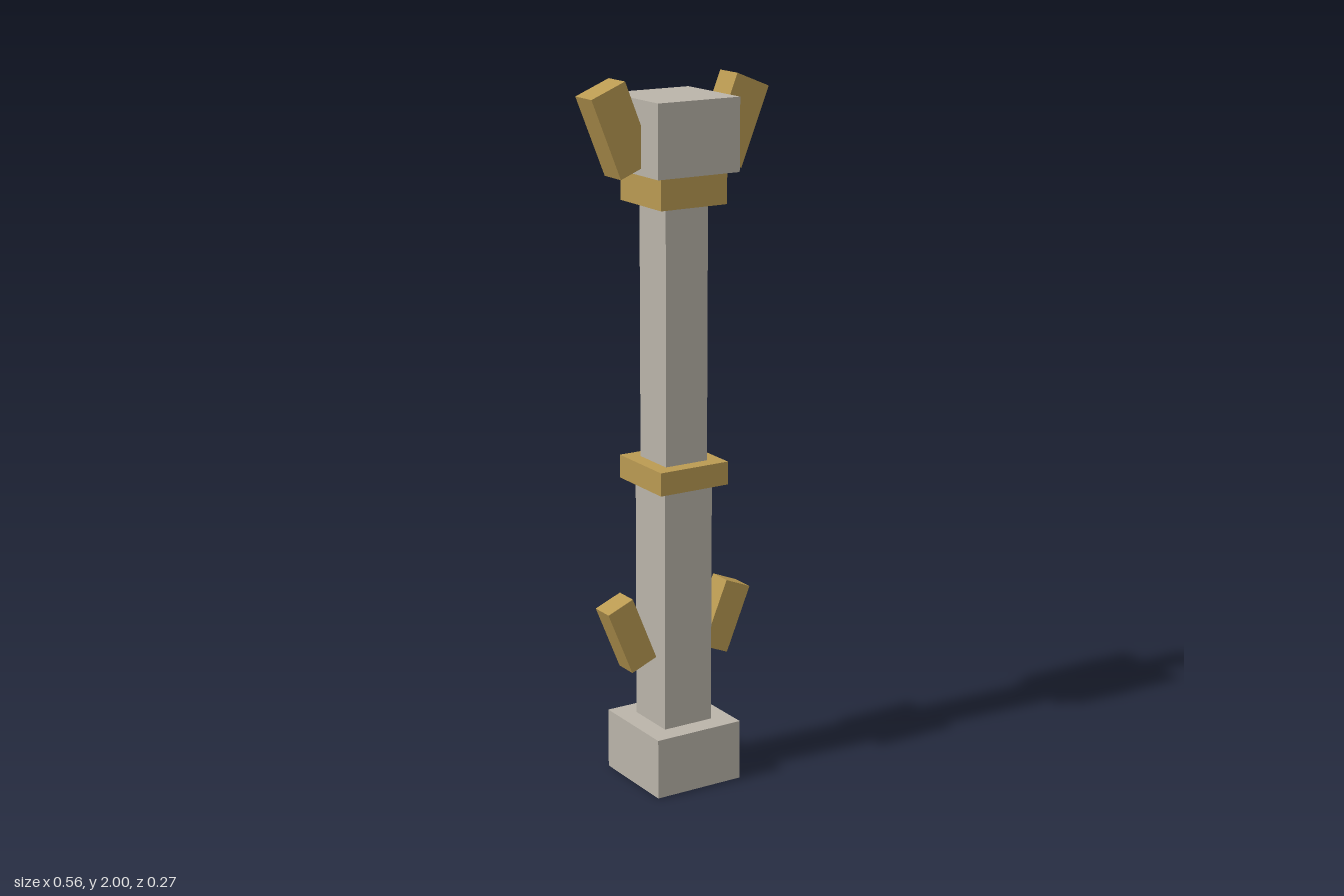
import * as THREE from 'three';

export function createModel() {
  const model = new THREE.Group();
  model.name = 'pillar';

  const stone = new THREE.MeshStandardMaterial({ color: 0xbab4a9 });
  stone.name = 'stone grey';
  const gold = new THREE.MeshStandardMaterial({ color: 0xba9a52 });
  gold.name = 'dull gold';

  // Square block centred on the axis, from height y0 to y1
  function block(name, width, y0, y1, material) {
    const mesh = new THREE.Mesh(new THREE.BoxGeometry(width, y1 - y0, width), material);
    mesh.name = name;
    mesh.position.y = (y0 + y1) / 2;
    model.add(mesh);
  }

  // Mirrored pair of slanted blocks, leaning outward at the top
  function finPair(name, [width, height, depth], x, y, tilt) {
    const geometry = new THREE.BoxGeometry(width, height, depth);
    for (const side of [1, -1]) {
      const fin = new THREE.Mesh(geometry, gold);
      fin.name = (side > 0 ? 'left' : 'right') + name;
      fin.position.set(side * x, y, 0);
      fin.rotation.z = -side * tilt;
      model.add(fin);
    }
  }

  // Column, bottom to top
  block('base', 0.273, 0, 0.174, stone);
  block('lowerShaft', 0.154, 0.174, 0.875, stone);
  block('middleRing', 0.218, 0.875, 0.941, gold);
  block('upperShaft', 0.134, 0.941, 1.66, stone);
  block('collar', 0.208, 1.66, 1.748, gold);
  block('head', 0.256, 1.748, 1.949, stone);

  // Slanted fins
  finPair('LowerFin', [0.085, 0.2, 0.07], 0.157, 0.456, 0.39);
  finPair('UpperFin', [0.11, 0.234, 0.084], 0.183, 1.871, 0.384);

  return model;
}
